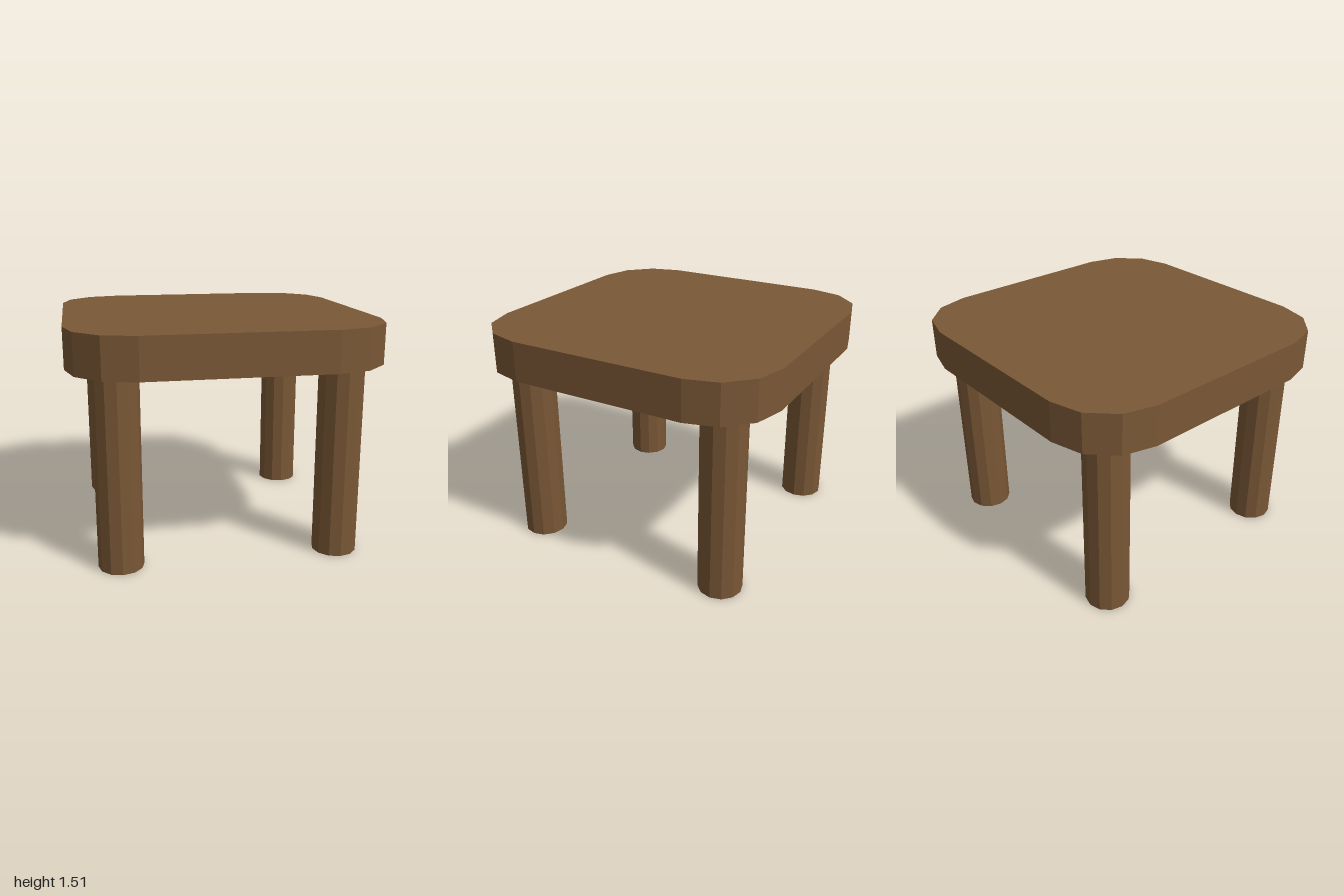
import * as THREE from 'three';

const LEG_HEIGHT = 1.25;
const TOP_THICKNESS = 0.26;
const CORNER_RADIUS = 0.415;
const CORNER_STEPS = 3;
const LEG_RADIUS = 0.145;
const LEG_OFFSET = 0.705;

export function createModel() {
  const group = new THREE.Group();
  group.name = 'table';
  const wood = new THREE.MeshStandardMaterial({ color: 0x7a5836, flatShading: true });

  // Table top: square with each corner rounded in three facets
  const outline = [];
  const inset = 1 - CORNER_RADIUS;
  for (const [sx, sy, start] of [[1, 1, 0], [-1, 1, 1], [-1, -1, 2], [1, -1, 3]]) {
    for (let i = 0; i <= CORNER_STEPS; i++) {
      const a = (start + i / CORNER_STEPS) * Math.PI / 2;
      outline.push(new THREE.Vector2(
        sx * inset + Math.cos(a) * CORNER_RADIUS,
        sy * inset + Math.sin(a) * CORNER_RADIUS));
    }
  }
  const topGeometry = new THREE.ExtrudeGeometry(new THREE.Shape(outline), {
    depth: TOP_THICKNESS, bevelEnabled: false,
  });
  topGeometry.rotateX(-Math.PI / 2);
  const top = new THREE.Mesh(topGeometry, wood);
  top.name = 'tableTop';
  top.position.y = LEG_HEIGHT;
  group.add(top);

  // Four twelve-sided legs
  const legGeometry = new THREE.CylinderGeometry(LEG_RADIUS, LEG_RADIUS, LEG_HEIGHT, 12);
  for (const [zName, z] of [['front', 1], ['back', -1]]) {
    for (const [xName, x] of [['Left', 1], ['Right', -1]]) {
      const leg = new THREE.Mesh(legGeometry, wood);
      leg.name = `${zName}${xName}Leg`;
      leg.position.set(x * LEG_OFFSET, LEG_HEIGHT / 2, z * LEG_OFFSET);
      group.add(leg);
    }
  }
  return group;
}
